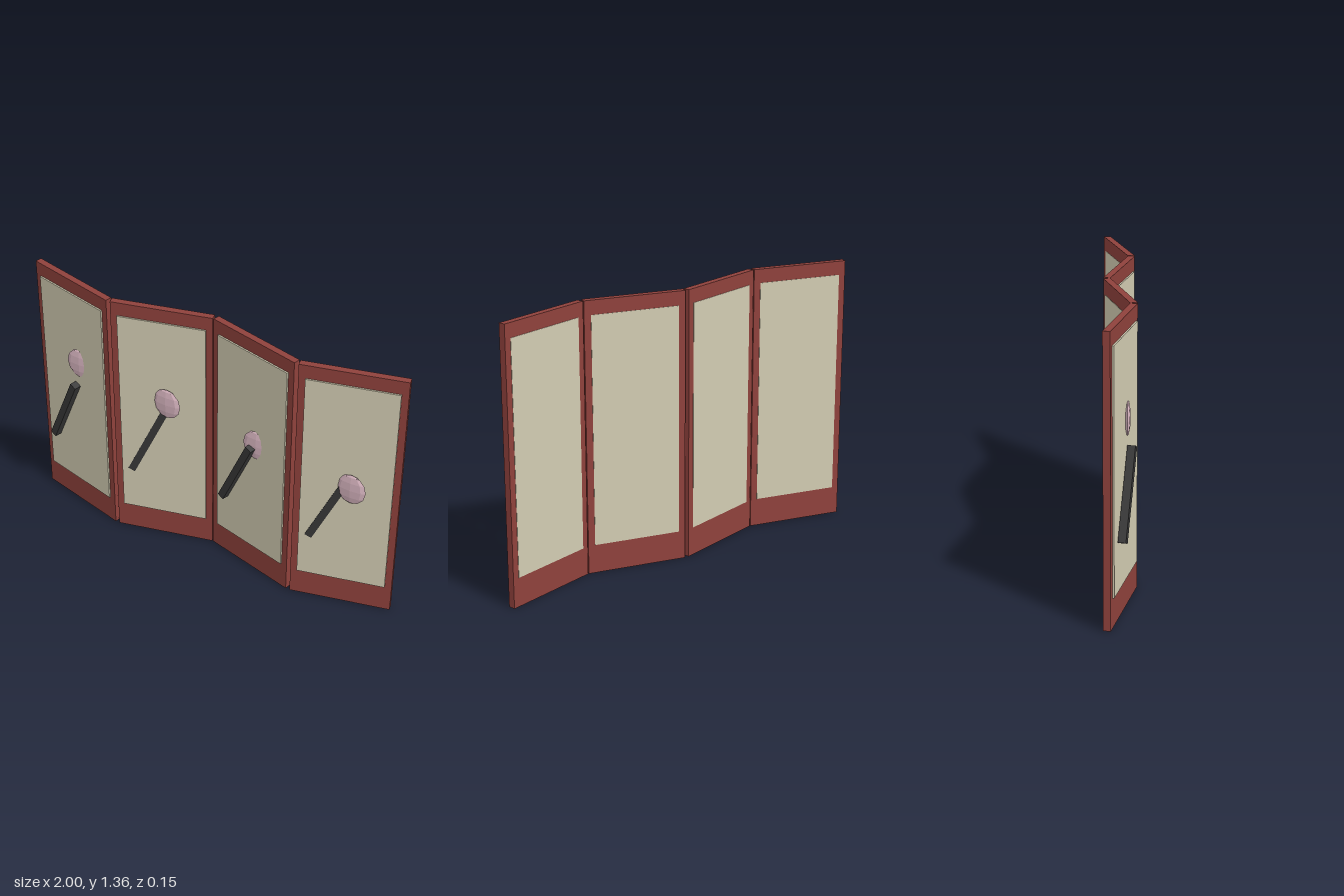
import * as THREE from 'three';

const mat = (name, color, extra = {}) => {
  const m = new THREE.MeshStandardMaterial({ color, ...extra });
  m.name = name;
  return m;
};

export function createModel() {
  const red = mat('red lacquer', 0x8f413c);
  const paper = mat('cream paper', 0xd2ccb2);
  const dark = mat('dark branch', 0x383838);
  const pink = mat('pink blossom', 0xd6b3be, { flatShading: true });

  const W = 0.503, H = 1.36, T = 0.034, FOLD = 0.245;
  const frameGeo = new THREE.BoxGeometry(W, H, T);
  const paperGeo = new THREE.BoxGeometry(0.436, 1.145, T + 0.01);
  const branchGeo = new THREE.BoxGeometry(0.037, 0.43, 0.037);
  const blossomGeo = new THREE.SphereGeometry(1, 8, 6).scale(0.075, 0.083, 0.015);

  const model = new THREE.Group();
  model.name = 'foldingScreen';
  const add = (parent, name, geo, material, x, y, z) => {
    const mesh = new THREE.Mesh(geo, material);
    mesh.name = name;
    mesh.position.set(x, y, z);
    parent.add(mesh);
    return mesh;
  };

  for (let i = 0; i < 4; i++) {
    const left = -1 + i * 0.5;
    const turn = i % 2 ? FOLD : -FOLD;

    // zigzag panel: frame with a paper sheet showing on both faces
    const panel = new THREE.Group();
    panel.name = 'panel' + (i + 1);
    panel.position.x = (i - 1.5) * 0.501;
    panel.rotation.y = turn;
    add(panel, 'frame', frameGeo, red, 0, H / 2, 0);
    add(panel, 'paperSheet', paperGeo, paper, 0, 0.7175, 0.003);
    model.add(panel);

    // leaning branch follows the panel, blossom faces straight ahead
    const branch = add(model, 'branch', branchGeo, dark, left + 0.176, 0.577, 0.03);
    branch.rotation.set(0, turn, -0.43);
    add(model, 'blossom', blossomGeo, pink, left + 0.285, 0.897 - i * 0.058, 0.03);
  }
  return model;
}
